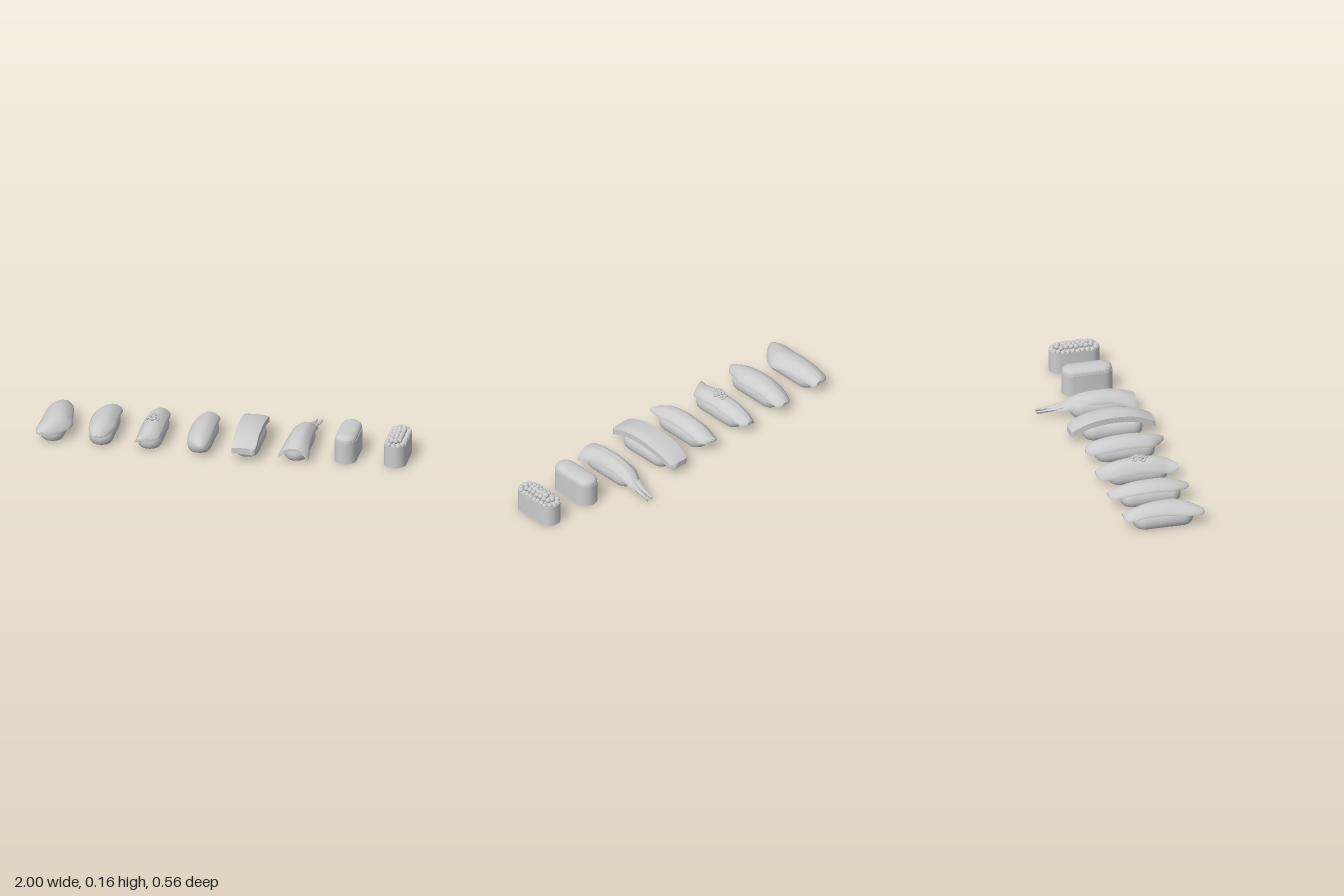
import * as THREE from 'three';
import { toCreasedNormals } from 'three/addons/utils/BufferGeometryUtils.js';

const material = new THREE.MeshStandardMaterial({ color: 0xcccccc });
const MID_Z = 0.055; // centre of every piece along z

function addMesh(parent, name, geometry) {
  const mesh = new THREE.Mesh(geometry, material);
  mesh.name = name;
  parent.add(mesh);
  return mesh;
}

// Lathe profile [radius, y] pulled apart along z into a stadium-shaped body
function stadium(profile, stretch, crease) {
  const segments = 32;
  const geo = new THREE.LatheGeometry(profile.map(([r, y]) => new THREE.Vector2(r, y)), segments, Math.PI / segments);
  const pos = geo.attributes.position;
  for (let i = 0; i < pos.count; i++) {
    const phi = Math.PI / segments + Math.floor(i / profile.length) * Math.PI * 2 / segments;
    pos.setZ(i, pos.getZ(i) + Math.sign(Math.cos(phi)) * stretch + MID_Z);
  }
  return toCreasedNormals(geo, crease);
}

// Draped slice lofted through rows [z, left x, right x, optional crown y], front to back
function slice(rows, { thick = 0.018, dropL = 0.045, dropR = 0.045, crown = 0.126, sag = 0.045, edge = 0.35, groove = 0 } = {}) {
  const widest = Math.max(...rows.map(r => r[2] - r[1]));
  const arch = z => crown - sag * Math.abs((z - MID_Z) / 0.215) ** 2.4;
  const curve = f => new THREE.CatmullRomCurve3(rows.map(f), false, 'centripetal');
  const crownOf = r => r[3] ?? arch(r[0]);
  const fall = r => (r[2] - r[1]) / widest;
  const left = curve(r => new THREE.Vector3(r[1], crownOf(r) - dropL * fall(r), r[0]));
  const right = curve(r => new THREE.Vector3(r[2], crownOf(r) - dropR * fall(r), r[0]));
  const spine = curve(r => new THREE.Vector3((r[1] + r[2]) / 2, crownOf(r), r[0]));
  const across = 16, along = 36, ring = 2 * (across + 1);
  const points = [], index = [];
  for (let i = 0; i <= along; i++) {
    const l = left.getPoint(i / along), r = right.getPoint(i / along), s = spine.getPoint(i / along);
    for (let j = 0; j < ring; j++) {
      const top = j <= across;
      const u = (top ? j : ring - 1 - j) / across * 2 - 1;
      const side = u < 0 ? l : r;
      let y = s.y + (side.y - s.y) * Math.abs(u) ** 2.2;
      if (top) y -= groove * Math.exp(-((u / 0.15) ** 2));
      else y -= thick * (edge + (1 - edge) * (1 - u * u));
      points.push(l.x + (r.x - l.x) * (u + 1) / 2, y, s.z);
    }
  }
  for (let i = 0; i < along; i++) {
    for (let j = 0; j < ring; j++) {
      const a = i * ring + j, b = i * ring + (j + 1) % ring;
      index.push(a, b, a + ring, b, b + ring, a + ring);
    }
  }
  // End caps zip the upper edge to the lower edge
  const last = along * ring;
  for (let j = 0; j < across; j++) {
    const a = j, b = j + 1, c = ring - 2 - j, d = ring - 1 - j;
    index.push(a, d, b, b, d, c);
    index.push(last + a, last + b, last + d, last + b, last + c, last + d);
  }
  const geo = new THREE.BufferGeometry();
  geo.setAttribute('position', new THREE.Float32BufferAttribute(points, 3));
  geo.setIndex(index);
  return toCreasedNormals(geo, 0.9);
}

const RICE = [[0, 0], [0.04, 0], [0.052, 0.004], [0.061, 0.015], [0.065, 0.035], [0.064, 0.052],
  [0.058, 0.07], [0.047, 0.084], [0.03, 0.092], [0, 0.096]];

function nigiri(name, x) {
  const piece = new THREE.Group();
  piece.name = name;
  piece.position.x = x;
  addMesh(piece, 'riceBed', stadium(RICE, 0.1, 1));
  return piece;
}

// Point on a stadium outline of half width r and straight half length s
function stadiumPoint(t, r, s) {
  const arc = Math.PI * r, total = 2 * arc + 4 * s;
  let d = t * total;
  const flip = d >= total / 2 ? -1 : 1;
  if (flip < 0) d -= total / 2;
  if (d < 2 * s) return [flip * r, flip * (d - s)];
  const a = (d - 2 * s) / r;
  return [flip * r * Math.cos(a), flip * (s + r * Math.sin(a))];
}

export function createModel() {
  const model = new THREE.Group();
  model.name = 'sushiSet';

  // Nigiri with thin fish slices
  const fish = [
    ['broadFishNigiri', -0.92, { dropL: 0.045, dropR: 0.055 },
      [[0.272, -0.052, -0.02], [0.255, -0.07, 0.008], [0.2, -0.079, 0.062], [0.13, -0.072, 0.1], [0.05, -0.066, 0.09],
        [-0.05, -0.063, 0.075], [-0.12, -0.056, 0.06], [-0.15, -0.045, 0.052], [-0.163, -0.015, 0.04]]],
    ['taperedFishNigiri', -0.655, { dropL: 0.036, dropR: 0.042 },
      [[0.265, -0.018, 0.008], [0.24, -0.04, 0.035], [0.18, -0.064, 0.058], [0.13, -0.07, 0.073], [0.05, -0.073, 0.07],
        [-0.05, -0.065, 0.067], [-0.13, -0.047, 0.062], [-0.16, -0.033, 0.054], [-0.175, -0.01, 0.035]]],
    ['garnishedFishNigiri', -0.39, { dropL: 0.06, dropR: 0.038 },
      [[0.266, -0.062, -0.035], [0.25, -0.066, 0], [0.215, -0.066, 0.052], [0.16, -0.066, 0.064], [0.05, -0.066, 0.067],
        [-0.06, -0.065, 0.065], [-0.13, -0.052, 0.056], [-0.16, -0.038, 0.045], [-0.175, -0.012, 0.025]]],
    ['narrowFishNigiri', -0.12, { dropL: 0.046, dropR: 0.036 },
      [[0.275, 0.018, 0.045], [0.255, -0.008, 0.052], [0.2, -0.056, 0.062], [0.13, -0.066, 0.066], [0.05, -0.068, 0.066],
        [-0.06, -0.064, 0.064], [-0.12, -0.052, 0.06], [-0.15, -0.042, 0.04], [-0.166, -0.033, -0.005]]],
  ];
  for (const [name, x, options, rows] of fish) {
    const piece = nigiri(name, x);
    addMesh(piece, 'fishSlice', slice(rows, options));
    model.add(piece);
    if (name === 'garnishedFishNigiri') {
      // Little heap of chopped onion rings
      const onion = new THREE.TorusGeometry(0.011, 0.005, 8, 14);
      for (let i = 0; i < 11; i++) {
        const a = i * 2.4, r = 0.011 * Math.sqrt(i);
        const bit = addMesh(piece, 'onionRing', onion);
        bit.position.set(r * Math.cos(a) * 0.7, 0.131 - r * 0.15, 0.066 + r * Math.sin(a) * 1.2);
        bit.rotation.set(Math.PI / 2 + 0.5 * Math.sin(i * 1.9), 0.5 * Math.cos(i * 2.7), 0);
      }
    }
  }

  // Nigiri with a thick omelette slab
  const omelette = nigiri('omeletteNigiri', 0.14);
  addMesh(omelette, 'omeletteSlab', slice(
    [[0.277, -0.062, 0.052], [0.265, -0.065, 0.063], [0.18, -0.065, 0.065], [0.05, -0.066, 0.066], [-0.08, -0.066, 0.065],
      [-0.15, -0.062, 0.06], [-0.178, -0.058, 0.052], [-0.186, -0.045, 0.035]],
    { thick: 0.034, edge: 0.95, dropL: 0.003, dropR: 0.01, crown: 0.137, sag: 0.049 }));
  model.add(omelette);

  // Nigiri with a split prawn and forked tail
  const prawn = nigiri('prawnNigiri', 0.405);
  addMesh(prawn, 'prawnBody', slice(
    [[0.245, -0.08, 0.08, 0.092], [0.225, -0.082, 0.083, 0.1], [0.17, -0.07, 0.076, 0.116], [0.1, -0.06, 0.07, 0.125],
      [0.02, -0.056, 0.068, 0.125], [-0.06, -0.046, 0.066, 0.113], [-0.11, -0.035, 0.062, 0.092],
      [-0.15, -0.014, 0.057, 0.067], [-0.18, 0.002, 0.055, 0.052]],
    { dropL: 0.06, dropR: 0.06, groove: 0.004 }));
  const tails = [
    [[-0.15, -0.01, 0.025, 0.066], [-0.2, 0.004, 0.03, 0.048], [-0.25, 0.016, 0.033, 0.039], [-0.284, 0.025, 0.032, 0.034]],
    [[-0.15, 0.02, 0.056, 0.066], [-0.2, 0.031, 0.059, 0.048], [-0.25, 0.046, 0.062, 0.039], [-0.284, 0.054, 0.061, 0.034]],
  ];
  for (const rows of tails) {
    addMesh(prawn, 'prawnTailFin', slice(rows, { thick: 0.016, dropL: 0.006, dropR: 0.006, edge: 0.3 }));
  }
  model.add(prawn);

  // Seaweed-wrapped rolls: one with a smooth domed filling, one with roe
  const wall = [[0, 0], [0.06, 0], [0.06, 0.12], [0.056, 0.12], [0.056, 0.112], [0, 0.112]];
  const dome = [[0.057, 0.11], [0.058, 0.128], [0.054, 0.138], [0.044, 0.147], [0.027, 0.152], [0, 0.154]];
  const rolls = ['domedRoll', 'roeRoll'].map((name, i) => {
    const roll = new THREE.Group();
    roll.name = name;
    roll.position.x = 0.67 + 0.27 * i;
    addMesh(roll, 'seaweedWrap', stadium(wall, 0.079, 0.6));
    model.add(roll);
    return roll;
  });
  addMesh(rolls[0], 'domedFilling', stadium(dome, 0.079, 1));

  // Roe laid in stadium rings: [half width, half length, y, count]
  const egg = new THREE.SphereGeometry(0.0145, 14, 10);
  for (const [r, s, y, count] of [[0.045, 0.078, 0.12, 22], [0.022, 0.075, 0.137, 16], [0.002, 0.06, 0.141, 10]]) {
    for (let i = 0; i < count; i++) {
      const [x, z] = stadiumPoint((i + 0.5) / count, r, s);
      addMesh(rolls[1], 'roe', egg).position.set(x, y + 0.0025 * Math.sin(i * 2.3), z + MID_Z);
    }
  }
  return model;
}
